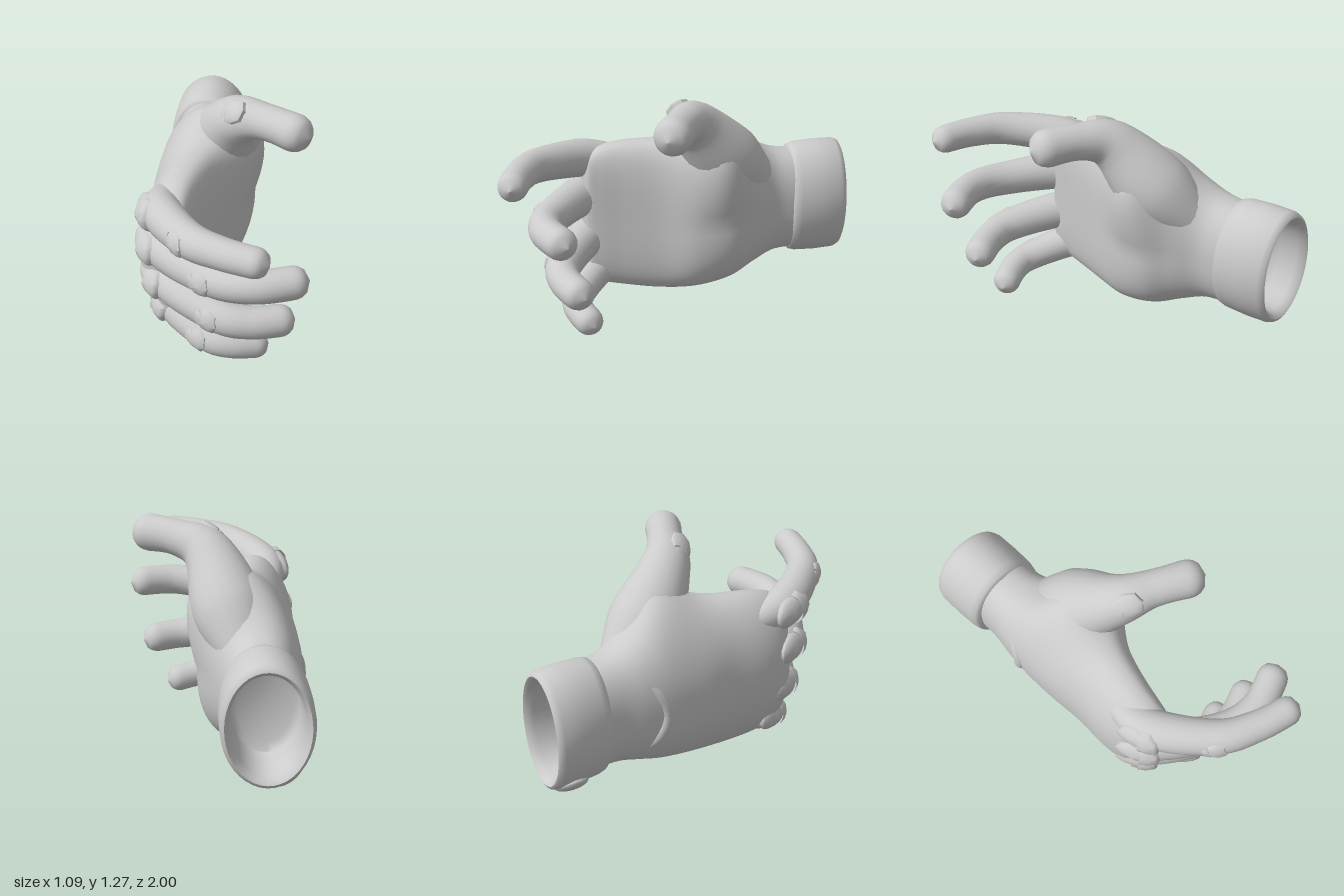
import * as THREE from 'three';
import { toCreasedNormals } from 'three/addons/utils/BufferGeometryUtils.js';

const V = (x, y, z) => new THREE.Vector3(x, y, z);
const spline = (pts) => new THREE.CatmullRomCurve3(pts, false, 'catmullrom', 0.5);
const material = new THREE.MeshStandardMaterial({ color: 0xcccccc, roughness: 0.8 });

// Skin a list of closed rings that all have the same number of points
function loft(rings) {
  const n = rings[0].length, pos = [], idx = [];
  rings.forEach((ring) => ring.forEach((p) => pos.push(p.x, p.y, p.z)));
  for (let i = 0; i < rings.length - 1; i++) {
    for (let j = 0; j < n; j++) {
      const a = i * n + j, b = i * n + (j + 1) % n;
      idx.push(a, b, a + n, b, b + n, a + n);
    }
  }
  const g = new THREE.BufferGeometry();
  g.setAttribute('position', new THREE.Float32BufferAttribute(pos, 3));
  g.setIndex(idx);
  g.computeVertexNormals();
  return g;
}

// Round limb along [x, y, z, radius] points, closed by a dome at the far end
function limb(path, sides = 20) {
  const curve = spline(path.map((p) => V(p[0], p[1], p[2])));
  const radii = spline(path.map((p) => V(p[3], 0, 0)));
  const steps = 48, length = curve.getLength(), tip = path[path.length - 1][3];
  const frames = curve.computeFrenetFrames(steps, false);
  const rings = [];
  for (let i = 0; i <= steps; i++) {
    const u = i / steps;
    const d = Math.min(1, (1 - u) * length / tip);
    const r = radii.getPoint(curve.getUtoTmapping(u)).x * Math.sqrt(Math.max(1e-6, 1 - (1 - d) ** 2));
    const c = curve.getPointAt(u);
    rings.push(Array.from({ length: sides }, (_, j) => {
      const a = j / sides * Math.PI * 2;
      return c.clone().addScaledVector(frames.normals[i], r * Math.cos(a))
        .addScaledVector(frames.binormals[i], r * Math.sin(a));
    }));
  }
  return { geometry: loft(rings), curve, radii };
}

// Domed pad that hugs a limb; the outline runs counter-clockwise, u along the limb, v across
function pad(finger, t, outline, su, sv, lift, twist = 0) {
  const T = finger.curve.getTangent(t), r = finger.radii.getPoint(t).x;
  const n = V(-T.z, 0, T.x).normalize().applyAxisAngle(T, twist);
  const v = n.clone().cross(T).normalize();
  const base = finger.curve.getPoint(t);
  const layers = [[1, -0.035], [1, lift * 0.7], [0.9, lift], [0.55, lift * 1.15], [0.01, lift * 1.2]];
  const rings = layers.map(([s, h]) => outline.map(([a, b]) => {
    const pu = a * su * s, pv = b * sv * s;
    const drop = r - Math.sqrt(Math.max(0.1 * r * r, r * r - pv * pv)) + pu * pu * 1.6;
    return base.clone().addScaledVector(T, pu).addScaledVector(v, pv)
      .addScaledVector(n, r + h - drop);
  }));
  return toCreasedNormals(loft(rings), 0.7);
}

// Pad outlines: notched hexagon, its small counterpart, rounded shell and crescent
const notched = [[1, 0], [0.75, 0.75], [0.1, 1], [-0.45, 0.85], [-0.35, 0.4], [-0.05, 0.2],
  [-0.1, -0.2], [-0.5, -0.3], [-0.4, -0.85], [0.1, -1], [0.75, -0.75]];
const sliver = [[-0.3, 0.1], [-0.6, 0.3], [-0.65, 0.75], [-1, 0.45], [-1.05, -0.3], [-0.7, -0.7], [-0.75, -0.2], [-0.35, -0.1]];
const shell = Array.from({ length: 16 }, (_, i) => [Math.cos(i / 8 * Math.PI), Math.sin(i / 8 * Math.PI)]);
const crescent = [[0.95, 0], [0.85, 0.6], [0.45, 1], [0.05, 0.95], [0.15, 0.5], [0.35, 0],
  [0.15, -0.5], [0.05, -0.95], [0.45, -1], [0.85, -0.6]];

// Digits as [x, y, z, radius] from inside the palm to the tip
const digits = {
  indexFinger: [[-0.29, 0.8, 0.2, 0.06], [-0.27, 0.85, 0.49, 0.106], [-0.06, 0.9, 0.77, 0.095], [0.14, 0.92, 0.88, 0.084], [0.385, 0.93, 0.945, 0.078]],
  middleFinger: [[-0.3, 0.62, 0.2, 0.07], [-0.28, 0.63, 0.48, 0.112], [0.03, 0.63, 0.71, 0.098], [0.28, 0.65, 0.765, 0.09], [0.545, 0.66, 0.67, 0.087]],
  ringFinger: [[-0.3, 0.41, 0.18, 0.07], [-0.27, 0.39, 0.45, 0.108], [0.05, 0.35, 0.655, 0.098], [0.24, 0.33, 0.67, 0.09], [0.465, 0.32, 0.58, 0.087]],
  littleFinger: [[-0.28, 0.24, 0.15, 0.06], [-0.25, 0.195, 0.4, 0.098], [-0.03, 0.125, 0.57, 0.088], [0.12, 0.1, 0.595, 0.082], [0.315, 0.07, 0.52, 0.077]],
  thumb: [[-0.22, 0.62, -0.56, 0.09], [-0.1, 0.85, -0.29, 0.2], [0.025, 1.1, -0.08, 0.14], [0.2, 1.165, 0.02, 0.1], [0.447, 1.165, 0.14, 0.108]],
};

// Palm cross-sections: z, centre x, centre y, half thickness, half width
const palmSections = [
  [-0.71, -0.28, 0.525, 0.2, 0.3], [-0.58, -0.265, 0.53, 0.21, 0.315], [-0.45, -0.235, 0.53, 0.25, 0.36],
  [-0.3, -0.2, 0.53, 0.285, 0.42], [-0.1, -0.2, 0.52, 0.265, 0.45], [0.1, -0.23, 0.515, 0.205, 0.455],
  [0.3, -0.255, 0.52, 0.175, 0.44], [0.43, -0.255, 0.52, 0.15, 0.41], [0.5, -0.24, 0.52, 0.11, 0.36],
  [0.525, -0.24, 0.52, 0.05, 0.28], [0.53, -0.24, 0.52, 0.001, 0.01],
];

function palmGeometry() {
  const centre = spline(palmSections.map((s) => V(s[1], s[2], s[0])));
  const size = spline(palmSections.map((s) => V(s[3], s[4], 0)));
  const rings = [], steps = 60, sides = 56;
  const soft = (x) => Math.sign(x) * Math.abs(x) ** 0.88;
  for (let i = 0; i <= steps; i++) {
    const c = centre.getPoint(i / steps), s = size.getPoint(i / steps);
    const cup = 0.06 * THREE.MathUtils.smoothstep(c.z, -0.6, 0.1) * THREE.MathUtils.smoothstep(-c.z, -0.53, -0.49);
    // Ball of the thumb swells upward and toward the inner side
    const thumbSwell = Math.exp(-(((c.z + 0.24) / 0.18) ** 2));
    rings.push(Array.from({ length: sides }, (_, j) => {
      const a = j / sides * Math.PI * 2, x = soft(Math.cos(a)), y = soft(Math.sin(a));
      const up = thumbSwell * Math.max(0, y);
      return V(c.x + s.x * x + cup * (y * y - 0.2) + up * (0.06 * y + 0.13 * Math.max(0, x)),
        c.y + s.y * y + 0.12 * up * y, c.z);
    }));
  }
  return loft(rings);
}

// Hollow cuff with a rounded rim, slightly slanted
function cuffGeometry() {
  const profile = [[0.001, -0.725], [0.6, -0.725], [0.74, -0.75], [0.79, -0.85], [0.81, -0.95], [0.85, -0.985],
    [0.91, -1], [0.96, -0.992], [1, -0.965], [1.01, -0.85], [0.99, -0.73], [0.96, -0.695], [0.9, -0.68], [0.75, -0.68]];
  const g = new THREE.LatheGeometry(profile.map((p) => new THREE.Vector2(p[0], p[1])), 40);
  g.rotateX(Math.PI / 2).scale(0.238, 0.338, 1);
  const p = g.attributes.position;
  for (let i = 0; i < p.count; i++) p.setX(i, p.getX(i) - 0.3 + (p.getZ(i) + 0.84) * 0.08);
  g.translate(0, 0.523, 0);
  g.computeVertexNormals();
  return toCreasedNormals(g, 0.9);
}

export function createModel() {
  const glove = new THREE.Group();
  glove.name = 'glove';
  const add = (name, geometry, parent = glove) => {
    const mesh = new THREE.Mesh(geometry, material);
    mesh.name = name;
    parent.add(mesh);
    return mesh;
  };

  add('palm', palmGeometry());
  add('cuff', cuffGeometry());

  // Fastening tab under the cuff
  const tab = add('cuffTab', new THREE.SphereGeometry(1, 20, 12));
  tab.scale.set(0.095, 0.035, 0.09);
  tab.rotation.z = -0.63;
  tab.position.set(-0.41, 0.23, -0.885);

  // Soft fold across the back of the wrist
  add('wristFold', limb([[-0.32, 0.77, -0.6, 0.025], [-0.38, 0.75, -0.52, 0.03], [-0.45, 0.65, -0.4, 0.035],
    [-0.47, 0.52, -0.35, 0.035], [-0.45, 0.38, -0.4, 0.035], [-0.36, 0.27, -0.52, 0.025]], 12).geometry);

  // Digits with joint pads, and knuckle pads on the four fingers
  for (const [name, path] of Object.entries(digits)) {
    const isThumb = name === 'thumb';
    const group = new THREE.Group();
    group.name = name;
    glove.add(group);
    const digit = limb(path);
    add(name + 'Sleeve', digit.geometry, group);
    const [t, size, twist] = isThumb ? [0.58, 0.09, -0.75] : [0.5, 0.068, 0];
    add('jointPad', pad(digit, t, notched, size, 0.07, 0.013, twist), group);
    add('jointPadEdge', pad(digit, t, sliver, size, 0.07, 0.011, twist), group);
    if (!isThumb) {
      add('knuckleShell', pad(digit, 0.23, shell, 0.11, 0.086, 0.02), group);
      add('knuckleCrescent', pad(digit, 0.25, crescent, 0.115, 0.09, 0.03), group);
    }
  }
  return glove;
}
